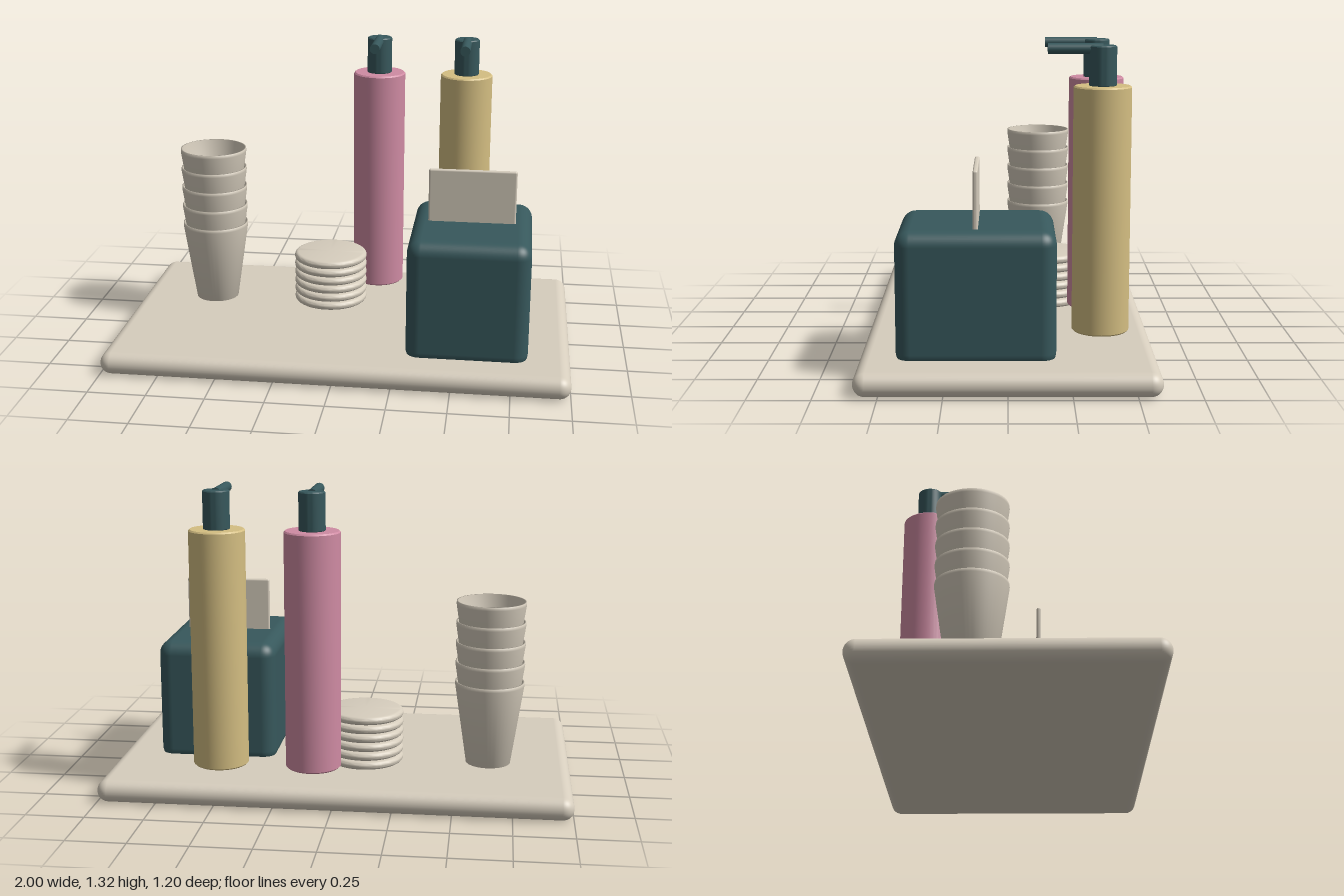
import * as THREE from 'three';
import { RoundedBoxGeometry } from 'three/addons/geometries/RoundedBoxGeometry.js';
import { toCreasedNormals } from 'three/addons/utils/BufferGeometryUtils.js';

const material = (name, color) => {
  const m = new THREE.MeshStandardMaterial({ color });
  m.name = name;
  return m;
};

export function createModel() {
  const cream = material('cream', 0xd6cdbd);
  const teal = material('teal', 0x37585c);
  const pink = material('pink', 0xcf8ba3);
  const tan = material('tan', 0xd4be82);
  const model = new THREE.Group();
  model.name = 'bathroomTray';

  const add = (parent, name, geometry, mat, x, y, z) => {
    const mesh = new THREE.Mesh(geometry, mat);
    mesh.name = name;
    mesh.position.set(x, y, z);
    parent.add(mesh);
    return mesh;
  };
  const group = (name, x, y, z) => {
    const g = new THREE.Group();
    g.name = name;
    g.position.set(x, y, z);
    model.add(g);
    return g;
  };
  const lathe = (points) =>
    new THREE.LatheGeometry(points.map(([r, y]) => new THREE.Vector2(r, y)), 48);

  // Solid upright cylinder with a small bevel, standing on y = 0
  const bevelled = (r, h, b) => toCreasedNormals(
    lathe([[0, 0], [r - b, 0], [r, b], [r, h - b], [r - b, h], [0, h]]), 0.6);

  // Tray with fully rounded rim
  add(model, 'tray', new RoundedBoxGeometry(2, 0.097, 1.195, 6, 0.048), cream, 0, 0.0485, 0);

  // Pump bottles
  const bottle = (name, x, mat) => {
    const g = group(name, x, 0.135, -0.382);
    add(g, 'bottleBody', bevelled(0.118, 1.015, 0.006), mat, 0, 0, 0);
    add(g, 'pumpNeck', bevelled(0.056, 0.165, 0.005), teal, 0, 1.012, 0);
    const nozzle = add(g, 'pumpNozzle', new THREE.CylinderGeometry(0.022, 0.022, 0.222, 24),
      teal, 0, 1.163, 0.111);
    nozzle.rotation.x = Math.PI / 2;
  };
  bottle('pinkBottle', 0.098, pink);
  bottle('tanBottle', 0.498, tan);

  // Tissue box with a tissue standing out of the top
  add(model, 'tissueBox', new RoundedBoxGeometry(0.52, 0.55, 0.637, 6, 0.06),
    teal, 0.559, 0.335, 0.127);
  add(model, 'tissue', new RoundedBoxGeometry(0.378, 0.36, 0.02, 3, 0.008),
    cream, 0.558, 0.663, 0.128);

  // Stack of nested tapered cups
  const cups = group('cupStack', -0.642, 0.103, -0.147);
  const cupGeometry = lathe([
    [0, 0], [0.097, 0], [0.15, 0.353], [0.149, 0.367],
    [0.143, 0.367], [0.088, 0.02], [0, 0.02],
  ]);
  for (let i = 0; i < 5; i++) add(cups, 'cup', cupGeometry, cream, 0, i * 0.0885, 0);

  // Stack of round-edged coasters
  const coasters = group('coasterStack', -0.103, 0.103, -0.17);
  const half = 0.0175, edge = [];
  for (let i = 0; i <= 8; i++) {
    const a = -Math.PI / 2 + (i / 8) * Math.PI;
    edge.push([0.15 + half * Math.cos(a), half + half * Math.sin(a)]);
  }
  const coasterGeometry = toCreasedNormals(lathe([[0, 0], ...edge, [0, half * 2]]), 0.6);
  for (let i = 0; i < 6; i++) add(coasters, 'coaster', coasterGeometry, cream, 0, i * 0.04, 0);

  return model;
}
